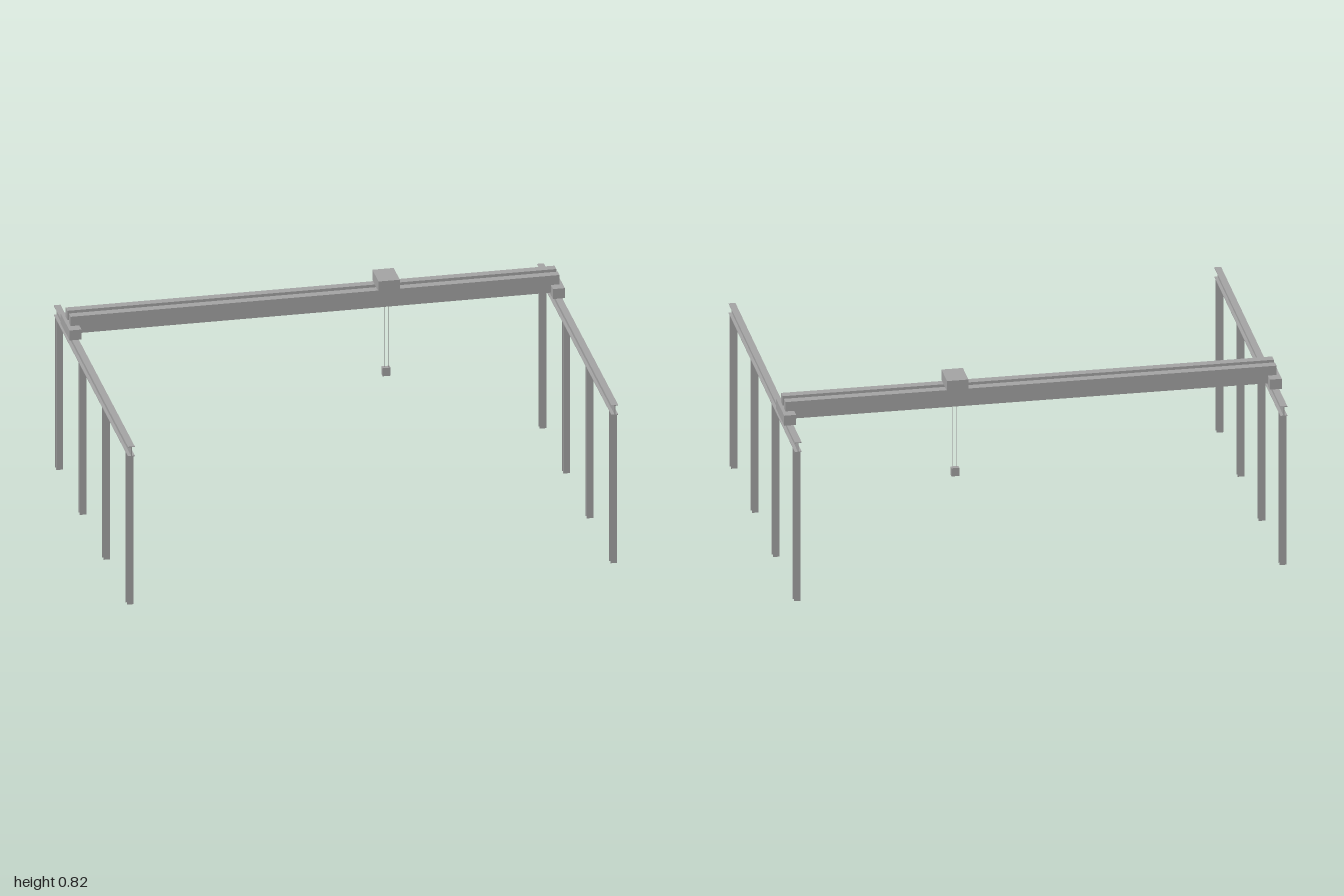
import * as THREE from 'three';

export function createModel() {
  const crane = new THREE.Group();
  crane.name = 'overheadCrane';
  const steel = new THREE.MeshStandardMaterial({ color: 0xa6a6a6 });
  steel.name = 'steelGrey';

  function add(name, geometry, x, y, z) {
    const mesh = new THREE.Mesh(geometry, steel);
    mesh.name = name;
    mesh.position.set(x, y, z);
    crane.add(mesh);
    return mesh;
  }
  const box = (name, w, h, d, x, y, z) =>
    add(name, new THREE.BoxGeometry(w, h, d), x, y, z);

  // I-shaped section, flanges at top and bottom, extruded along z and centred
  function iBeam(width, height, length, flange, web) {
    const w = width / 2, h = height / 2, t = web / 2, f = h - flange;
    const half = [[w, -h], [w, -f], [t, -f], [t, f], [w, f], [w, h]];
    const other = half.map(([x, y]) => [-x, -y]);
    const shape = new THREE.Shape([...half, ...other].map(([x, y]) => new THREE.Vector2(x, y)));
    const geometry = new THREE.ExtrudeGeometry(shape, { depth: length, bevelEnabled: false });
    return geometry.translate(0, 0, -length / 2);
  }

  const railX = 0.976, bridgeZ = -0.446;
  const runwayGeometry = iBeam(0.027, 0.043, 1.416, 0.003, 0.003);
  // Columns stand upright with their flanges facing front and back
  const columnGeometry = iBeam(0.027, 0.027, 0.648, 0.003, 0.003).rotateX(-Math.PI / 2);

  // Runways, columns and end carriages on both sides
  for (const side of [-1, 1]) {
    const label = side > 0 ? 'left' : 'right';
    add(label + 'RunwayBeam', runwayGeometry, side * railX, 0.6695, 0);
    for (let i = 0; i < 4; i++) {
      add(label + 'Column' + (i + 1), columnGeometry, side * railX, 0.324, 0.673 - i * 0.4487);
    }
    box(label + 'EndCarriage', 0.048, 0.043, 0.177, side * railX, 0.7125, bridgeZ);
  }

  // Twin bridge girders
  for (const side of [-1, 1]) {
    box(side > 0 ? 'frontGirder' : 'backGirder', 1.974, 0.073, 0.034, 0, 0.7375, bridgeZ + side * 0.03);
  }

  // Trolley, hoist ropes and hook block
  const hoistX = 0.297;
  box('trolley', 0.086, 0.044, 0.118, hoistX, 0.796, bridgeZ);
  for (const side of [-1, 1]) {
    add('hoistRope', new THREE.CylinderGeometry(0.001, 0.001, 0.36, 8), hoistX + side * 0.008, 0.598, bridgeZ);
  }
  box('hookBlock', 0.032, 0.035, 0.02, hoistX, 0.4025, bridgeZ);

  return crane;
}
